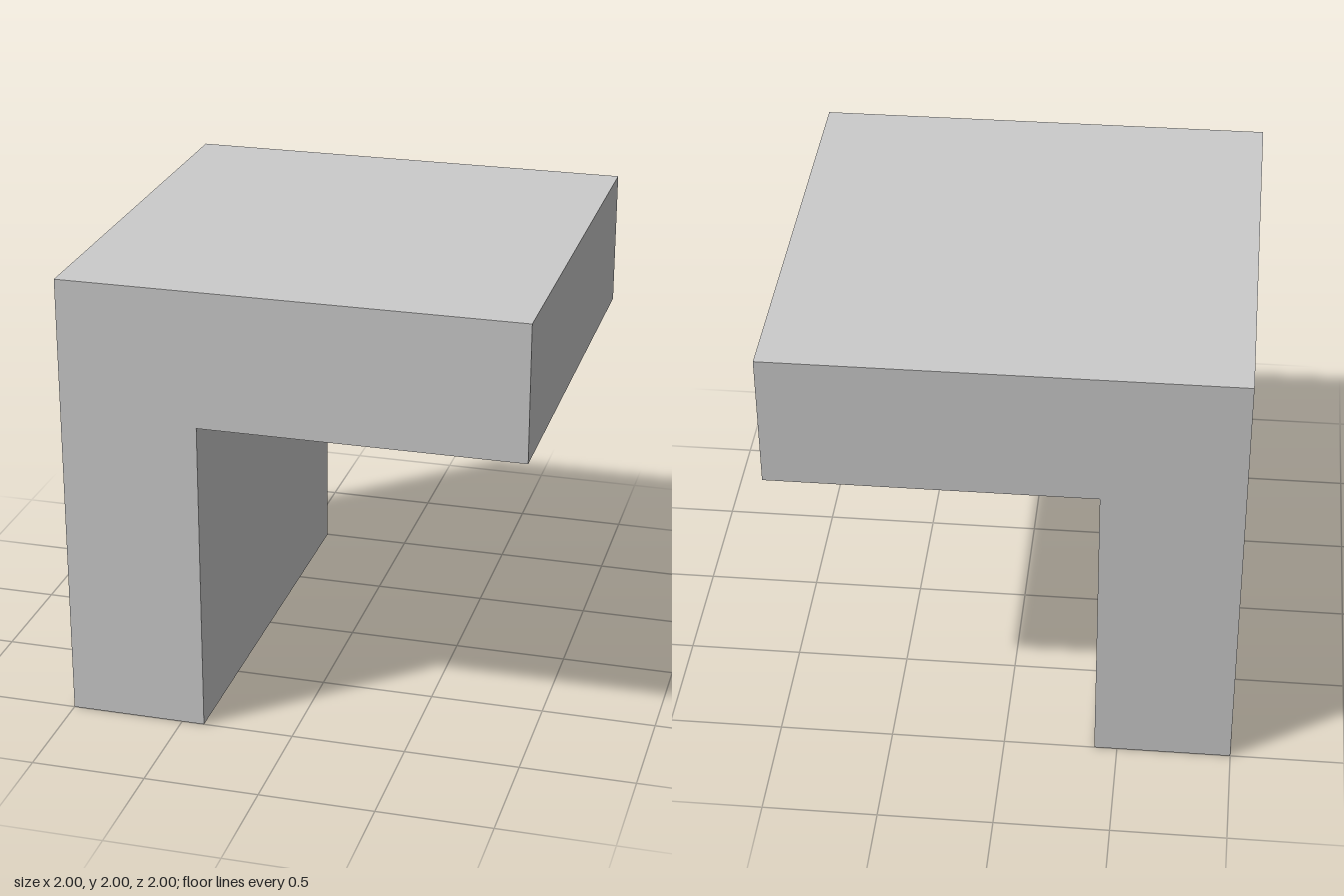
import * as THREE from 'three';

export function createModel() {
  const group = new THREE.Group();
  group.name = 'angleBlock';

  // L-shaped profile: upright wall on the -x side, slab across the top
  const profile = new THREE.Shape([
    [-1, 0], [-0.4, 0], [-0.4, 1.4], [1, 1.4], [1, 2], [-1, 2],
  ].map(([x, y]) => new THREE.Vector2(x, y)));

  // Extruded along z and centred front to back
  const geometry = new THREE.ExtrudeGeometry(profile, { depth: 2, bevelEnabled: false });
  geometry.translate(0, 0, -1);

  const block = new THREE.Mesh(
    geometry,
    new THREE.MeshStandardMaterial({ color: 0xcccccc, flatShading: true })
  );
  block.name = 'cornerBlock';
  group.add(block);
  return group;
}
